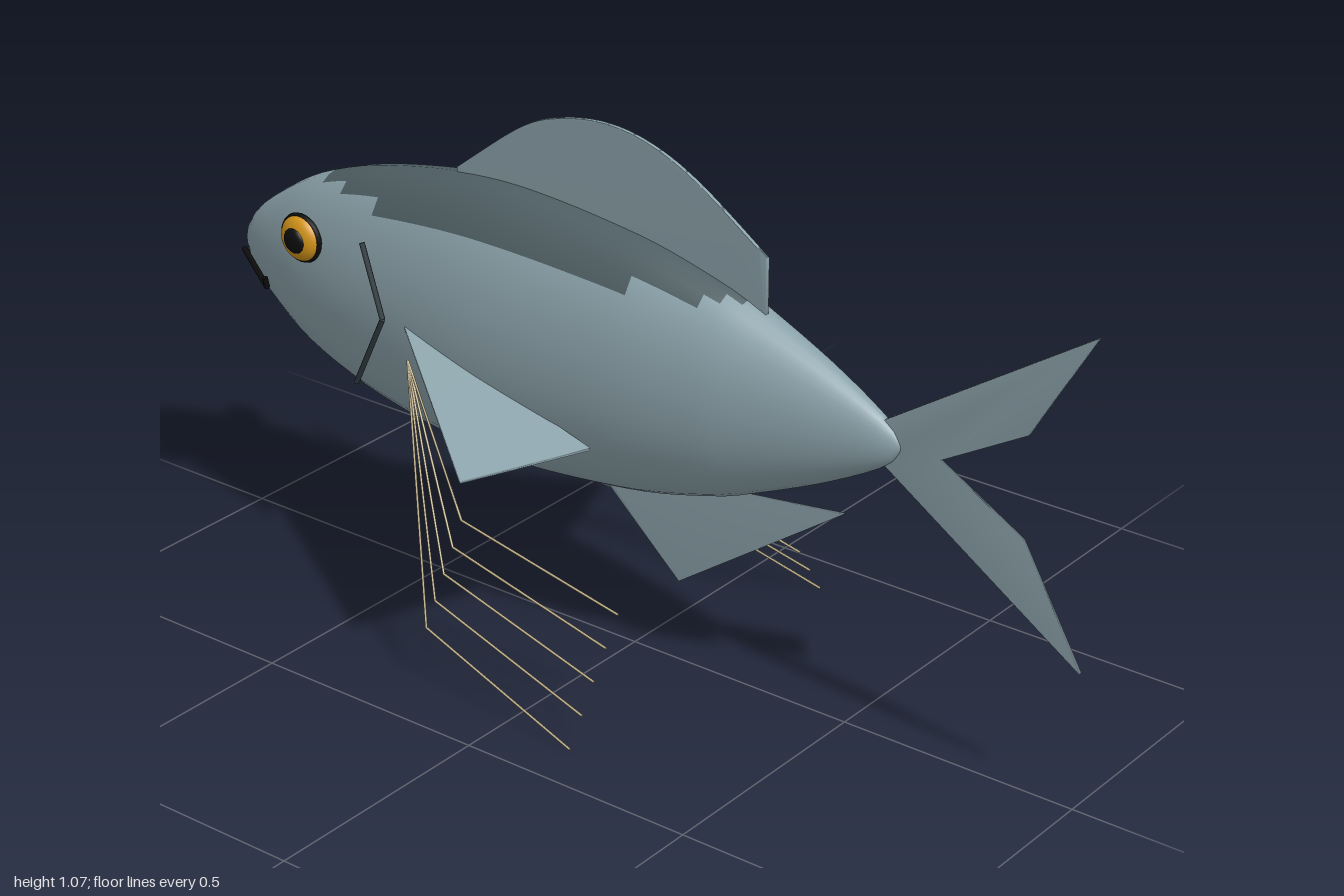
import * as THREE from 'three';
import { mergeVertices } from 'three/addons/utils/BufferGeometryUtils.js';
import { ConvexGeometry } from 'three/addons/geometries/ConvexGeometry.js';

const mat = (name, color) => {
  const m = new THREE.MeshStandardMaterial({ color });
  m.name = name;
  return m;
};

// Shares vertices so that thin fins get rounded shading
const soften = (geometry) => {
  geometry.deleteAttribute('normal');
  geometry.deleteAttribute('uv');
  const merged = mergeVertices(geometry);
  merged.computeVertexNormals();
  return merged;
};

export function createModel() {
  const fish = new THREE.Group();
  fish.name = 'fish';
  const skin = mat('silver skin', 0x8ca3ab);
  const back = mat('dark back', 0x4f5f64);
  const slate = mat('slate gill', 0x323d42);
  const black = mat('black', 0x0d0d0d);
  const gold = mat('gold iris', 0xd4951a);
  const tan = mat('tan ray', 0xc0b088);

  const add = (name, geometry, material, parent = fish) => {
    const mesh = new THREE.Mesh(geometry, material);
    mesh.name = name;
    parent.add(mesh);
    return mesh;
  };
  const V = (p) => new THREE.Vector3(...p);

  // Thin rod between two points
  const rod = (name, a, b, radius, material, parent) => {
    const from = V(a), dir = V(b).sub(from);
    const mesh = add(name, new THREE.CylinderGeometry(radius, radius, dir.length(), 6), material, parent);
    mesh.position.copy(from).addScaledVector(dir, 0.5);
    mesh.quaternion.setFromUnitVectors(new THREE.Vector3(0, 1, 0), dir.normalize());
  };

  // Body: a lathe laid along x, flattened in z
  const profile = new THREE.SplineCurve([
    [0, -1], [0.055, -0.975], [0.12, -0.9], [0.195, -0.77], [0.253, -0.58], [0.288, -0.31],
    [0.264, 0], [0.219, 0.2], [0.182, 0.3], [0.115, 0.45], [0.045, 0.575], [0, 0.612],
  ].map(([r, x]) => new THREE.Vector2(r, x)));
  const points = profile.getSpacedPoints(48);
  points.forEach((p) => { p.x = Math.max(p.x, 0); });
  const body = new THREE.LatheGeometry(points, 32);
  body.rotateZ(-Math.PI / 2).scale(1, 1, 0.522).translate(0, 0.605, 0);

  // Dark back: the body quads above a fixed height
  const pos = body.attributes.position, index = body.index.array;
  const lower = [], upper = [];
  for (let i = 0; i < index.length; i += 6) {
    const quad = [...index.slice(i, i + 6)];
    const y = quad.reduce((sum, v) => sum + pos.getY(v), 0) / 6;
    (y > 0.8 ? upper : lower).push(...quad);
  }
  body.setIndex([...lower, ...upper]);
  body.addGroup(0, lower.length, 0);
  body.addGroup(lower.length, upper.length, 1);
  add('body', body, [skin, back]);

  // Flat fins on the centre plane
  const flatFin = (name, shape) => {
    const geometry = new THREE.ExtrudeGeometry(shape, { depth: 0.008, bevelEnabled: false, curveSegments: 24 });
    add(name, soften(geometry.translate(0, 0, -0.004)), skin);
  };
  const polygon = (pts) => new THREE.Shape(pts.map(([x, y]) => new THREE.Vector2(x, y)));

  const dorsal = new THREE.Shape();
  dorsal.moveTo(-0.43, 0.86);
  dorsal.lineTo(-0.43, 0.893);
  dorsal.splineThru([[-0.27, 1.012], [-0.17, 1.053], [-0.065, 1.067], [0.04, 1.05], [0.15, 1.0], [0.305, 0.895]]
    .map(([x, y]) => new THREE.Vector2(x, y)));
  dorsal.lineTo(0.305, 0.75);
  flatFin('dorsalFin', dorsal);
  flatFin('tailFin', polygon([[0.54, 0.61], [0.56, 0.645], [1, 0.932], [0.87, 0.71], [0.69, 0.607],
    [0.87, 0.505], [1, 0.28], [0.56, 0.57]]));
  flatFin('analFin', polygon([[-0.08, 0.36], [-0.07, 0.335], [0.11, 0.172], [0.487, 0.435], [0.25, 0.405], [0.1, 0.42]]));

  for (const s of [1, -1]) {
    const side = new THREE.Group();
    side.name = s > 0 ? 'frontSideDetails' : 'backSideDetails';
    fish.add(side);

    // Pectoral fin: one thin swept triangle
    const corners = [[-0.47, 0.605, 0.13 * s], [-0.095, 0.477, 0.4 * s], [-0.005, 0.468, 0.13 * s]];
    const fin = new ConvexGeometry([0.003, -0.003].flatMap((dy) => corners.map(([x, y, z]) => V([x, y + dy, z]))));
    add('pectoralFin', soften(fin), skin, side);

    // Eye: gold disc, black rim and pupil
    const eye = new THREE.Group();
    eye.name = 'eye';
    eye.position.set(-0.745, 0.7, 0.115 * s);
    side.add(eye);
    add('iris', new THREE.SphereGeometry(0.047, 24, 16).scale(1, 1, 0.5), gold, eye);
    add('eyeRim', new THREE.TorusGeometry(0.046, 0.006, 8, 28), black, eye).position.z = -0.003 * s;
    add('pupil', new THREE.SphereGeometry(0.027, 20, 12).scale(1, 1, 0.5), black, eye).position.z = 0.016 * s;

    // Gill slit and mouth
    const gill = [[-0.55, 0.752, 0.149 * s], [-0.493, 0.61, 0.16 * s], [-0.587, 0.442, 0.138 * s]];
    rod('gillSlit', gill[0], gill[1], 0.006, slate, side);
    rod('gillSlit', gill[1], gill[2], 0.006, slate, side);
    const mouth = [[-0.98, 0.59, 0.035 * s], [-0.857, 0.56, 0.1 * s], [-0.857, 0.582, 0.105 * s]];
    rod('mouth', mouth[0], mouth[1], 0.006, black, side);
    rod('mouthCorner', mouth[1], mouth[2], 0.006, black, side);

    // Five bent free rays fanning from below the pectoral fin
    for (let i = 0; i < 5; i++) {
      const knee = [-0.22, 0.3 - 0.0465 * i, (0.255 + 0.027 * i) * s];
      rod('freeRayUpper', [-0.44, 0.535, 0.15 * s], knee, 0.0025, tan, side);
      rod('freeRayLower', knee, [0.16, 0.224 - 0.0555 * i, (0.255 + 0.036 * i) * s], 0.0025, tan, side);
    }
  }
  return fish;
}
